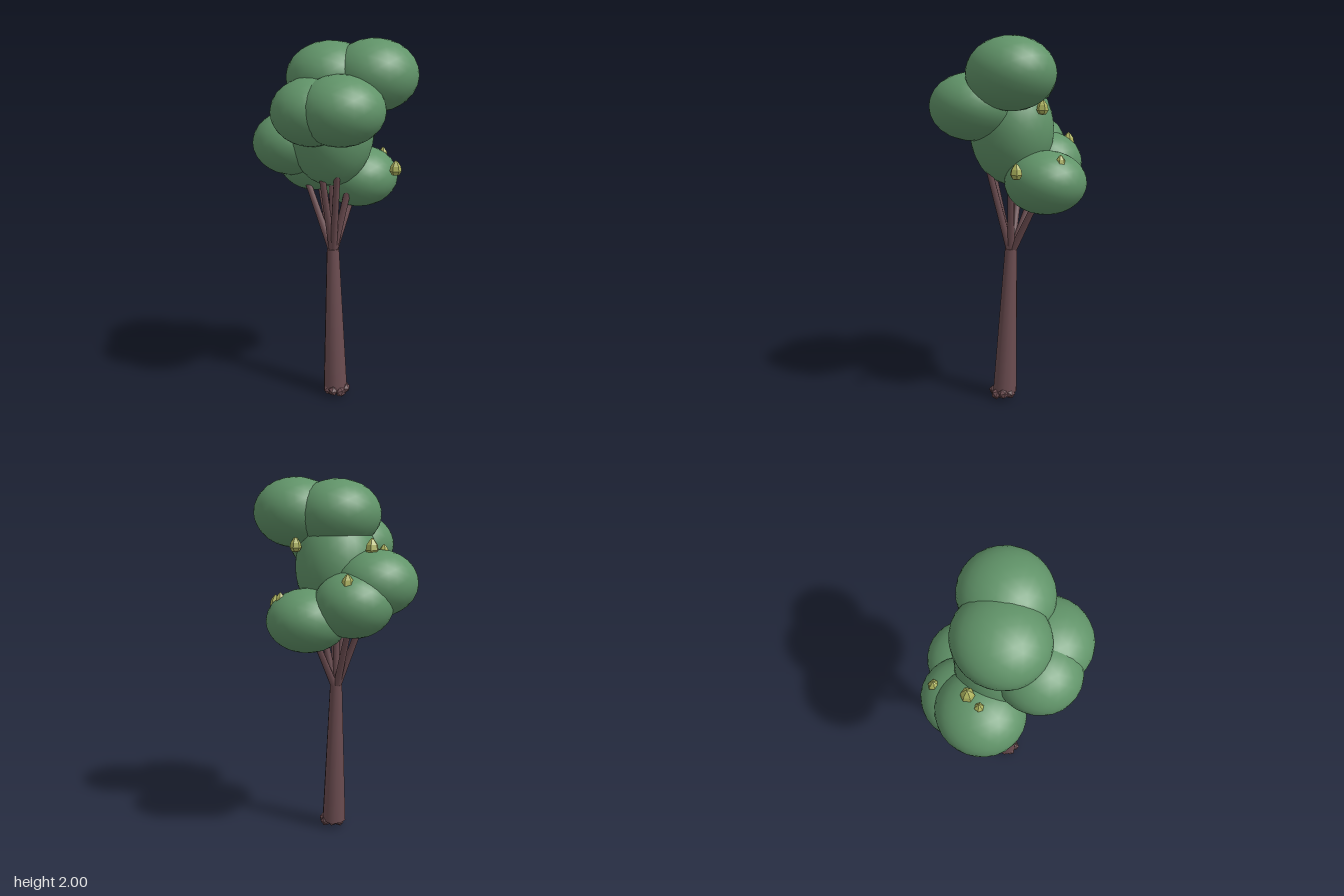
import * as THREE from 'three';

export function createModel() {
  const tree = new THREE.Group();
  tree.name = 'tree';
  const leaf = new THREE.MeshStandardMaterial({ color: 0x619469 });
  leaf.name = 'leafGreen';
  const bark = new THREE.MeshStandardMaterial({ color: 0x6b4c50 });
  bark.name = 'barkBrown';
  const fruit = new THREE.MeshStandardMaterial({ color: 0xaeb45f, flatShading: true });
  fruit.name = 'podYellow';

  const add = (name, geometry, material, pos = [0, 0, 0]) => {
    const mesh = new THREE.Mesh(geometry, material);
    mesh.name = name;
    mesh.position.set(...pos);
    tree.add(mesh);
    return mesh;
  };

  // Tapered limb between two points
  const limb = (name, from, to, r0, r1, sides) => {
    const a = new THREE.Vector3(...from), b = new THREE.Vector3(...to);
    const dir = b.clone().sub(a);
    const mesh = add(name, new THREE.CylinderGeometry(r1, r0, dir.length(), sides), bark);
    mesh.position.copy(a).add(b).multiplyScalar(0.5);
    mesh.quaternion.setFromUnitVectors(new THREE.Vector3(0, 1, 0), dir.normalize());
  };

  // Leaning trunk
  const fork = [-0.018, 0.86, 0.02];
  limb('trunk', [-0.033, 0.04, 0.058], fork, 0.069, 0.035, 10);

  // Knobbly root lumps around the foot
  for (let i = 0; i < 7; i++) {
    const a = (i / 7) * Math.PI * 2;
    const root = add('root', new THREE.IcosahedronGeometry(0.03, 0), bark,
      [-0.035 + Math.cos(a) * 0.052, 0.035 + 0.006 * Math.sin(i * 2.4), 0.073 + Math.sin(a) * 0.048]);
    root.rotation.set(i, i * 1.7, 0);
    root.scale.y = 0.95;
  }

  // Foliage clumps: centre, then radii
  const clumps = [
    [[0.12, 1.81, 0.188], [0.237, 0.19, 0.23]],
    [[-0.02, 1.8, 0.008], [0.243, 0.188, 0.23]],
    [[-0.13, 1.645, 0.203], [0.232, 0.182, 0.232]],
    [[-0.2, 1.635, 0.07], [0.222, 0.178, 0.21]],
    [[-0.1, 1.44, -0.215], [0.23, 0.18, 0.22]],
    [[0.045, 1.335, -0.2], [0.215, 0.178, 0.21]],
    [[0.2, 1.245, -0.005], [0.222, 0.172, 0.217]],
    [[-0.02, 1.52, 0.01], [0.232, 0.3, 0.228]],
  ];
  clumps.forEach(([centre, radii], i) => {
    add('foliage', new THREE.IcosahedronGeometry(1, 4), leaf, centre).scale.set(...radii);
    // A branch runs from the fork into every clump except the core
    if (i < 7) limb('branch', [fork[0], 0.83, fork[2]], centre, 0.021, 0.015, 7);
  });

  // Pointed seed pods
  const podProfile = [[0, -0.04], [0.02, -0.036], [0.033, -0.015], [0.028, 0.012], [0.012, 0.035], [0, 0.044]]
    .map(([r, y]) => new THREE.Vector2(r, y));
  const podShape = new THREE.LatheGeometry(podProfile, 6);
  const pods = [
    [0.225, 1.64, 0.06, 0.95],
    [0.335, 1.365, 0.05, 0.8],
    [0.215, 1.32, 0.265, 1],
    [-0.045, 1.63, -0.24, 1.1],
    [-0.125, 1.61, -0.245, 0.8],
    [0.155, 1.46, -0.28, 1],
  ];
  pods.forEach(([x, y, z, s], i) => {
    const pod = add('seedPod', podShape, fruit, [x, y, z]);
    pod.scale.setScalar(s);
    pod.rotation.y = i * 0.4;
  });

  return tree;
}
